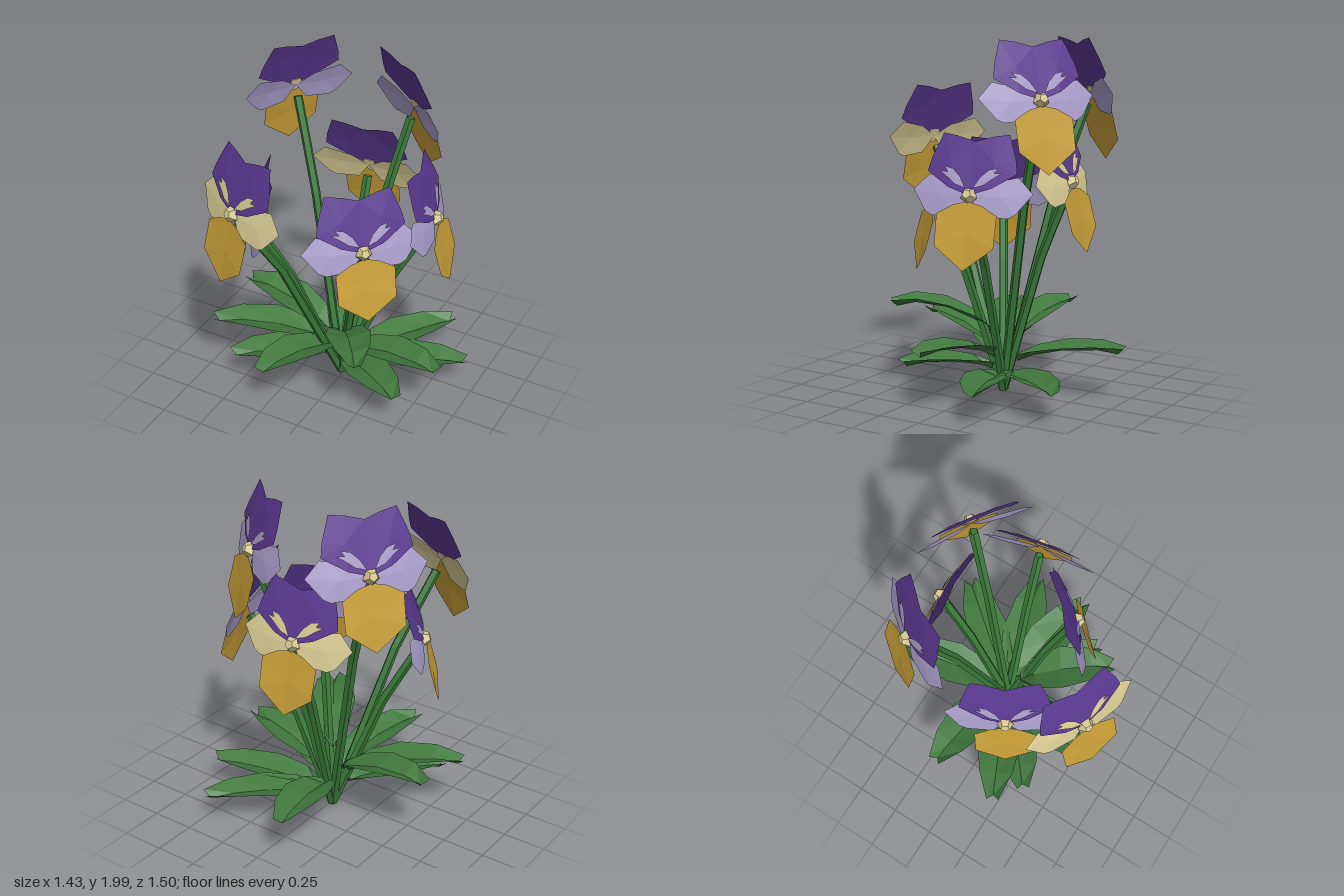
import * as THREE from 'three';

const mat = (name, color, flatShading = true) => {
  const m = new THREE.MeshStandardMaterial({ color, side: THREE.DoubleSide, flatShading });
  m.name = name;
  return m;
};

// Sheet fanned out from a hub point to an outline
function fan(points, hub) {
  const pos = [];
  points.forEach((p, i) => pos.push(...hub, ...p, ...points[(i + 1) % points.length]));
  const g = new THREE.BufferGeometry();
  g.setAttribute('position', new THREE.Float32BufferAttribute(pos, 3));
  g.computeVertexNormals();
  return g;
}

// Point list mirrored left to right, order reversed to keep the facing
const mirror = (pts) => pts.map(([x, y, z]) => [-x, y, z]).reverse();

// Outlines run anticlockwise seen from the front; these are on the +x side
const UPPER = [[0, 0, 0.012], [0.12, 0.04, 0.012], [0.25, 0.125, 0], [0.235, 0.2, 0], [0.185, 0.335, 0], [0.1, 0.32, 0.006], [0, 0.29, 0.012]];
const SIDE = [[0, 0, 0], [0.07, -0.1, 0], [0.21, -0.11, -0.015], [0.25, -0.09, -0.02], [0.335, 0.025, -0.045], [0.25, 0.11, -0.045], [0.1, 0.07, -0.02]];
const LOWER = [[0, -0.03, 0.02], [-0.08, -0.05, 0.022], [-0.168, -0.1, 0.025], [-0.165, -0.27, 0.038], [0, -0.395, 0.03],
  [0.165, -0.27, 0.038], [0.168, -0.1, 0.025], [0.08, -0.05, 0.022]];
const MARK = [[0.02, 0.035, 0.023], [0.08, 0.055, 0.022], [0.125, 0.09, 0.021], [0.175, 0.125, 0.018], [0.13, 0.12, 0.021], [0.15, 0.15, 0.02],
  [0.1, 0.138, 0.022], [0.055, 0.095, 0.023]];

function leafGeometry(length, height) {
  // fraction along, height fraction, full width
  const rows = [[0.12, 0.7, 0.06], [0.25, 0.84, 0.19], [0.5, 0.98, 0.26], [0.78, 1.04, 0.2], [1, 1, 0.07]];
  const pos = [], idx = [];
  rows.forEach(([t, h, w], i) => {
    const edge = t * length, rib = edge - (i === 4 ? 0.035 : 0);
    pos.push(-w / 2, h * height + 0.01, edge, 0, h * height - 0.03, rib, w / 2, h * height + 0.01, edge);
    if (i) for (const k of [0, 1]) {
      const a = (i - 1) * 3 + k, b = i * 3 + k;
      idx.push(a, b, a + 1, a + 1, b, b + 1);
    }
  });
  const g = new THREE.BufferGeometry();
  g.setAttribute('position', new THREE.Float32BufferAttribute(pos, 3));
  g.setIndex(idx);
  g.computeVertexNormals();
  return g;
}

export function createModel() {
  const model = new THREE.Group();
  model.name = 'flowerClump';
  const purple = mat('purple', 0x5a3890), lavender = mat('lavender', 0xa99dca), cream = mat('cream', 0xd9cb94);
  const gold = mat('gold', 0xc99f38), stemGreen = mat('stemGreen', 0x3a7a3a), leafGreen = mat('leafGreen', 0x427a40);
  const root = new THREE.Vector3(-0.015, 0.01, -0.06);

  const add = (parent, geometry, material, name) => {
    const mesh = new THREE.Mesh(geometry, material);
    mesh.name = name;
    parent.add(mesh);
    return mesh;
  };

  // Flower centres and the colour of their side petals
  const flowers = [
    [-0.3, 1.4, 0.6, cream], [-0.44, 1.1, 0.2, lavender], [-0.47, 1.68, -0.36, lavender], [0.265, 1.11, 0.215, lavender],
    [0.505, 1.19, -0.165, lavender], [0.235, 1.68, -0.435, lavender], [-0.05, 1.22, -0.46, cream],
  ];
  for (const [x, y, z, pale] of flowers) {
    const flower = new THREE.Group();
    flower.name = 'flower';
    flower.position.set(x, y, z);
    flower.rotation.set(-0.35, Math.atan2(x - root.x, z - root.z), 0, 'YXZ');
    for (const s of [1, -1]) {
      const half = (pts) => (s > 0 ? pts : mirror(pts));
      add(flower, fan(half(UPPER), [s * 0.12, 0.18, 0.014]), purple, 'upperPetal');
      const side = add(flower, fan(half(SIDE), [s * 0.17, 0, -0.014]), pale, 'sidePetal');
      side.rotation.x = 0.15;
      add(flower, fan(half(MARK), [s * 0.09, 0.095, 0.023]), pale, 'petalMark');
    }
    const lower = add(flower, fan(LOWER, [0, -0.2, 0.028]), gold, 'lowerPetal');
    lower.rotation.x = 0.16;
    // Faceted bead in the middle
    const heart = add(flower, new THREE.CylinderGeometry(0.025, 0.048, 0.04, 5), cream, 'heart');
    heart.rotation.x = Math.PI / 2;
    heart.position.z = 0.025;
    model.add(flower);

    // Stem bending outward near the top
    const top = new THREE.Vector3(x, y - 0.06, z).lerp(new THREE.Vector3(root.x, y - 0.06, root.z), 0.04);
    const bend = root.clone().lerp(top, 0.62);
    bend.y = root.y + (top.y - root.y) * 0.7;
    const path = new THREE.CurvePath();
    path.add(new THREE.QuadraticBezierCurve3(root, root.clone().lerp(bend, 0.5), bend));
    path.add(new THREE.LineCurve3(bend, top));
    add(model, new THREE.TubeGeometry(path, 6, 0.027, 5), stemGreen, 'stem');
  }

  // Leaf tips: x, height, z
  const leaves = [
    [-0.16, 0.3, -0.75], [0.46, 0.19, -0.65], [0.7, 0.19, -0.29], [0.67, 0.35, 0.07], [0.51, 0.24, 0.28],
    [0.35, 0.53, 0.46], [-0.2, 0.38, 0.58], [-0.52, 0.25, 0.37], [-0.7, 0.38, 0.27], [-0.7, 0.43, -0.14],
  ];
  for (const [x, y, z] of leaves) {
    const dx = x - root.x, dz = z - root.z;
    const leaf = add(model, leafGeometry(Math.hypot(dx, dz), y), leafGreen, 'leaf');
    leaf.position.set(root.x, 0, root.z);
    leaf.rotation.y = Math.atan2(dx, dz);
  }
  return model;
}
